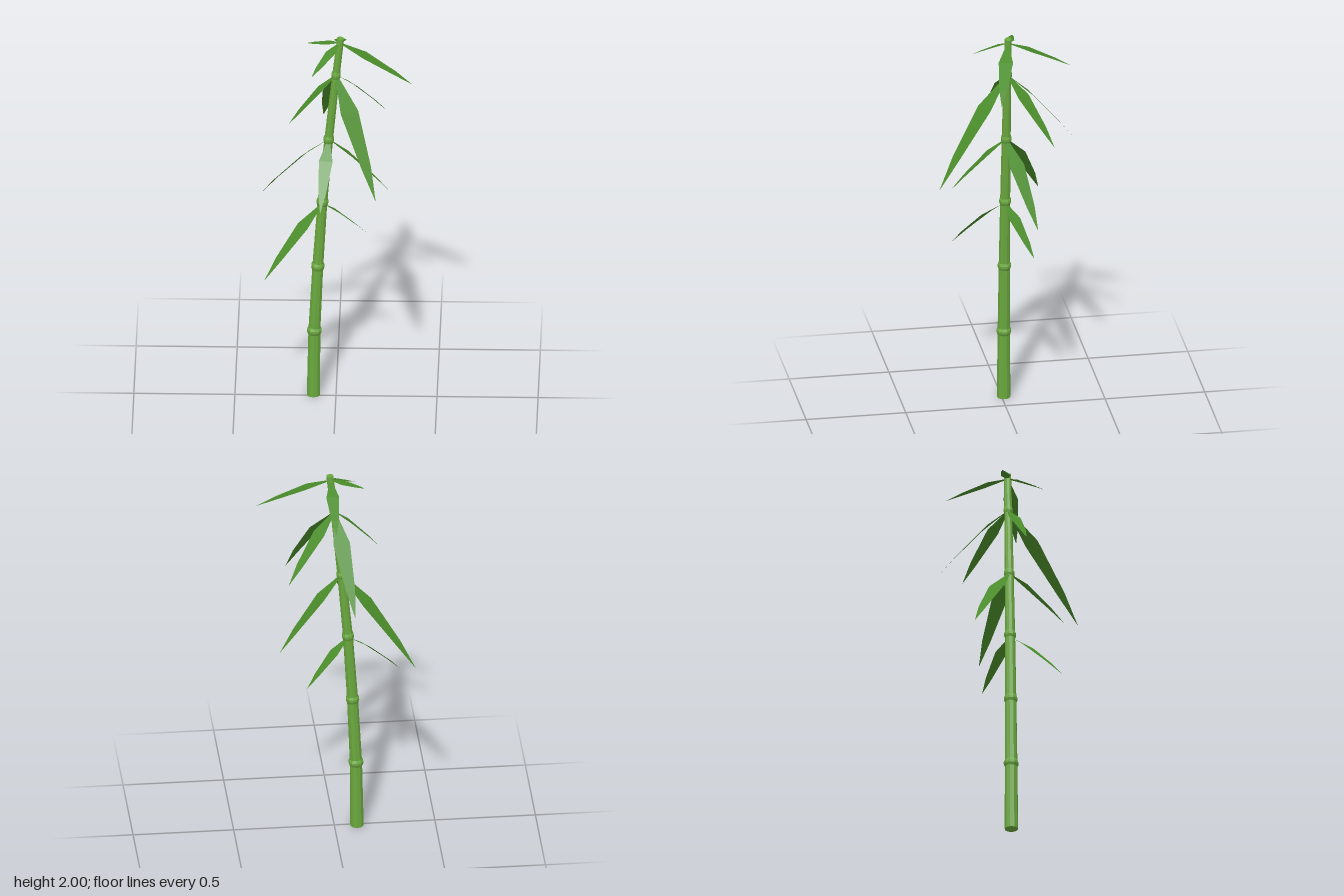
import * as THREE from 'three';

const SIDES = 10;
const Z = -0.01; // the stalk bends only sideways
const stalkMaterial = new THREE.MeshStandardMaterial({ color: 0x6aa83e, flatShading: true });
const leafMaterial = new THREE.MeshStandardMaterial({ color: 0x4a8c2a, flatShading: true, side: THREE.DoubleSide });

// Stalk joints from the ground to the cut top
const joints = [[-0.112, 0], [-0.107, 0.36], [-0.09, 0.72], [-0.067, 1.08], [-0.036, 1.43], [0, 1.79], [0.023, 1.995]]
  .map(([x, y]) => new THREE.Vector3(x, y, Z));
const radiusAt = (y) => 0.034 - 0.008 * y;

// Leaf tips [x, y, z] grouped by the point they grow from
const clusters = [
  { base: [-0.067, 1.07], tips: [[-0.35, 0.75, 0.21], [0.147, 0.85, -0.12]] },
  { base: [-0.036, 1.43], tips: [[0.283, 1.06, -0.117], [-0.073, 1.155, 0.262], [-0.383, 1.0, -0.23]] },
  { base: [0, 1.79], tips: [[-0.07, 1.375, -0.37], [0.247, 1.49, -0.205], [0.205, 1.28, 0.367], [-0.235, 1.54, 0.05]] },
  { base: [0.018, 1.97], tips: [[-0.147, 1.94, -0.06], [-0.118, 1.86, 0.152], [0.38, 1.79, 0.083], [0.02, 1.83, -0.32]] },
];

function alignTo(mesh, direction) {
  mesh.quaternion.setFromUnitVectors(new THREE.Vector3(0, 1, 0), direction);
}

// Tapered tube between two joints
function stalkSegment(a, b) {
  const axis = b.clone().sub(a);
  const mesh = new THREE.Mesh(
    new THREE.CylinderGeometry(radiusAt(b.y), radiusAt(a.y), axis.length(), SIDES), stalkMaterial);
  mesh.name = 'stalkSegment';
  mesh.position.copy(a).add(b).multiplyScalar(0.5);
  alignTo(mesh, axis.normalize());
  return mesh;
}

// Swollen ring at a joint
function nodeRing(point, direction) {
  const r = radiusAt(point.y);
  const profile = [[0.95, -0.022], [1.2, -0.006], [1.2, 0.006], [0.95, 0.022]]
    .map(([k, y]) => new THREE.Vector2(r * k, y));
  const mesh = new THREE.Mesh(new THREE.LatheGeometry(profile, SIDES), stalkMaterial);
  mesh.name = 'nodeRing';
  mesh.position.copy(point);
  alignTo(mesh, direction);
  return mesh;
}

// Thin drooping blade: cross-sections of [run, drop, width] ending in a point
function leaf(base, tip) {
  const reach = tip.clone().sub(base);
  const width = 0.03 + 0.1 * reach.length();
  const across = new THREE.Vector3(reach.z, 0, -reach.x).normalize();
  const sections = [[0, 0, 0.12], [0.34, 0.28, 1], [0.76, 0.72, 0.55], [1, 1, 0]];
  const positions = [];
  const index = [];
  sections.forEach(([run, drop, w], i) => {
    const centre = new THREE.Vector3(reach.x * run, reach.y * drop, reach.z * run).add(base);
    for (const side of [-0.5, 0.5]) {
      positions.push(...centre.clone().addScaledVector(across, side * w * width).toArray());
    }
    const k = i * 2;
    if (i < sections.length - 2) index.push(k, k + 2, k + 1, k + 1, k + 2, k + 3);
    else if (i === sections.length - 2) index.push(k, k + 2, k + 1);
  });
  const geometry = new THREE.BufferGeometry();
  geometry.setAttribute('position', new THREE.Float32BufferAttribute(positions, 3));
  geometry.setIndex(index);
  geometry.computeVertexNormals();
  const mesh = new THREE.Mesh(geometry, leafMaterial);
  mesh.name = 'leaf';
  return mesh;
}

export function createModel() {
  const model = new THREE.Group();
  model.name = 'bamboo';

  const stalk = new THREE.Group();
  stalk.name = 'stalk';
  for (let i = 0; i < joints.length - 1; i++) {
    stalk.add(stalkSegment(joints[i], joints[i + 1]));
    if (i > 0) {
      const direction = joints[i + 1].clone().sub(joints[i - 1]).normalize();
      stalk.add(nodeRing(joints[i], direction));
    }
  }
  model.add(stalk);

  for (const { base, tips } of clusters) {
    const cluster = new THREE.Group();
    cluster.name = 'leafCluster';
    const origin = new THREE.Vector3(base[0], base[1], Z);
    for (const tip of tips) cluster.add(leaf(origin, new THREE.Vector3(...tip)));
    model.add(cluster);
  }
  return model;
}
